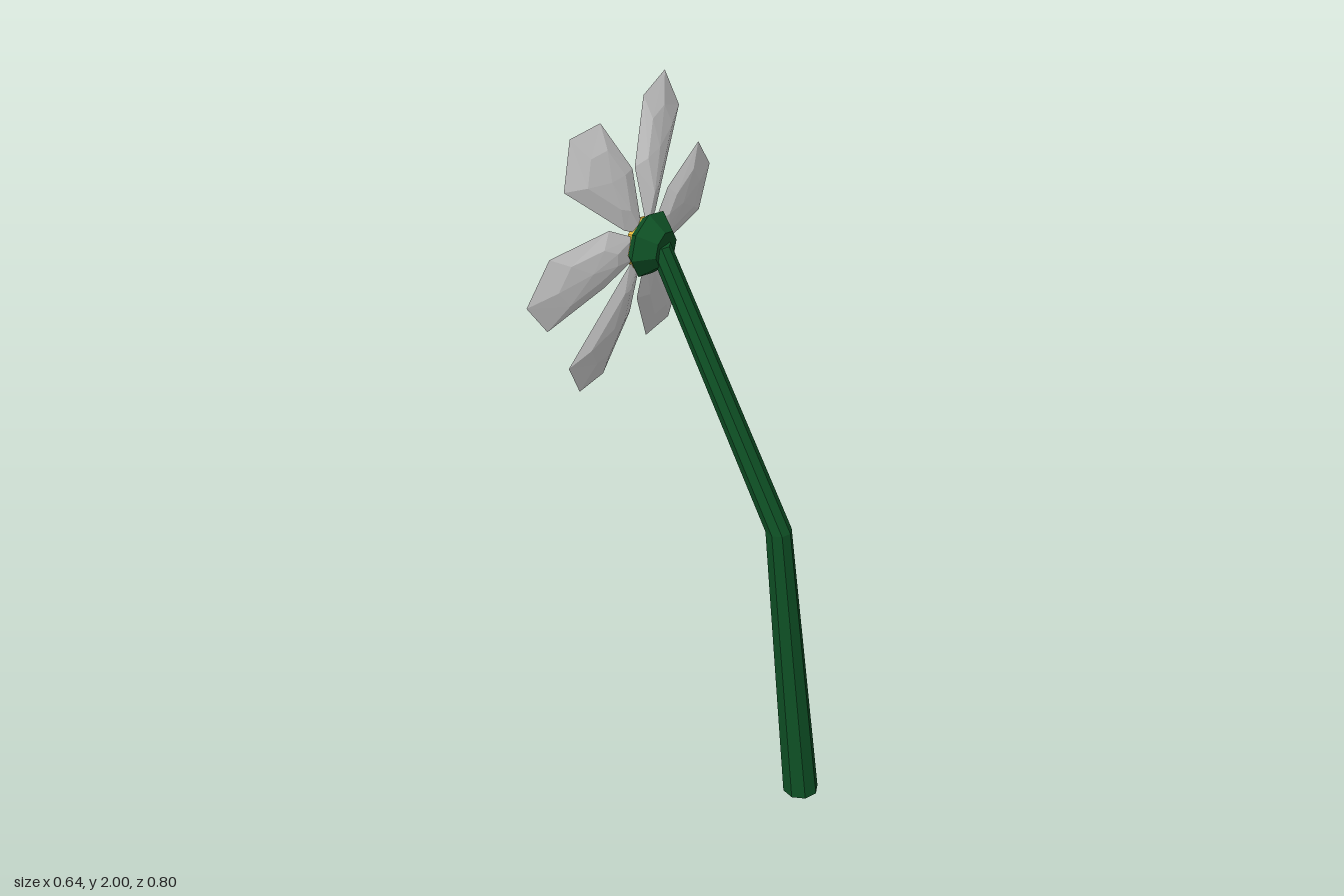
import * as THREE from 'three';

const mat = (name, color) => Object.assign(new THREE.MeshStandardMaterial({ color }), { name });

// Faceted geometry from vertices and triangle indices
function faceted(geo) {
  const g = geo.index ? geo.toNonIndexed() : geo;
  g.computeVertexNormals();
  return g;
}
function fromLists(verts, faces) {
  const g = new THREE.BufferGeometry();
  g.setAttribute('position', new THREE.Float32BufferAttribute(verts.flat(), 3));
  g.setIndex(faces.flat());
  return faceted(g);
}
function part(name, geo, material) {
  const m = new THREE.Mesh(geo, material);
  m.name = name;
  return m;
}

const CENTRE = { x: -0.15, y: 1.62, z: 0.02 };

// Cupped, tilted surface on which the petals lie
function petalX(z, y) {
  const dz = z - CENTRE.z, dy = y - CENTRE.y;
  return CENTRE.x - 0.256 * dz + 0.05 * dy - 0.19 * Math.hypot(dz, dy);
}

// Petal: sharp rim, with a raised inner facet on each side
function petalGeometry(rim) {
  const n = rim.length;
  const cz = rim.reduce((s, p) => s + p[0], 0) / n;
  const cy = rim.reduce((s, p) => s + p[1], 0) / n;
  const verts = rim.map(([z, y]) => [petalX(z, y), y, z]);
  const faces = [];
  for (const side of [1, -1]) {
    const start = verts.length;
    for (const [z, y] of rim) {
      const iz = cz + (z - cz) * 0.55, iy = cy + (y - cy) * 0.55;
      verts.push([petalX(iz, iy) + side * 0.011, iy, iz]);
    }
    verts.push([petalX(cz, cy) + side * 0.014, cy, cz]);
    for (let i = 0; i < n; i++) {
      const j = (i + 1) % n, a = start + i, b = start + j;
      for (const f of [[i, j, b], [i, b, a], [a, b, start + n]])
        faces.push(side > 0 ? f : f.reverse());
    }
  }
  return fromLists(verts, faces);
}

// Petal outlines as [z, y]
const PETALS = [
  [[0.03, 1.65], [0.03, 1.82], [0.12, 1.97], [0.23, 1.97], [0.27, 1.85], [0.09, 1.68]],
  [[0.01, 1.65], [-0.04, 1.68], [-0.22, 1.89], [-0.17, 2.0], [-0.06, 1.975], [0.02, 1.82]],
  [[-0.03, 1.6], [-0.06, 1.56], [-0.34, 1.55], [-0.4, 1.655], [-0.32, 1.75], [-0.12, 1.71], [-0.03, 1.65]],
  [[0.01, 1.58], [0.0, 1.45], [-0.11, 1.285], [-0.235, 1.28], [-0.265, 1.4], [-0.05, 1.57]],
  [[0.07, 1.58], [0.235, 1.355], [0.17, 1.255], [0.08, 1.265], [0.02, 1.42], [0.03, 1.58]],
  [[0.06, 1.65], [0.14, 1.7], [0.33, 1.7], [0.4, 1.6], [0.33, 1.505], [0.15, 1.55], [0.06, 1.59]],
];

// Stem: eight-sided loft through three rings, [x, y, z, radius]
function stemGeometry() {
  const rings = [[0.275, 0, 0.012, 0.049], [0.212, 0.87, 0.06, 0.035], [-0.112, 1.63, 0.037, 0.029]];
  const N = 8, verts = [], faces = [];
  for (const [x, y, z, r] of rings)
    for (let i = 0; i < N; i++) {
      const a = ((i + 0.3) / N) * Math.PI * 2;
      verts.push([x + r * Math.cos(a), y, z + r * Math.sin(a)]);
    }
  for (let k = 0; k < rings.length - 1; k++)
    for (let i = 0; i < N; i++) {
      const a = k * N + i, b = k * N + (i + 1) % N;
      faces.push([a, a + N, b], [b, a + N, b + N]);
    }
  const top = (rings.length - 1) * N;
  for (let i = 1; i < N - 1; i++)
    faces.push([0, i, i + 1], [top, top + i + 1, top + i]);
  return fromLists(verts, faces);
}

const lathe = (pts) => faceted(new THREE.LatheGeometry(pts.map(([r, y]) => new THREE.Vector2(r, y)), 8, Math.PI / 8));

export function createModel() {
  const green = mat('stem green', 0x0f5226);
  const white = mat('petal white', 0xe6e6e6);
  const yellow = mat('centre yellow', 0xe5b93a);

  const flower = new THREE.Group();
  flower.name = 'flower';
  flower.add(part('stem', stemGeometry(), green));

  // Calyx and yellow disc share the tilted axis of the bloom
  const head = new THREE.Group();
  head.name = 'flowerHead';
  head.position.set(CENTRE.x, CENTRE.y, CENTRE.z);
  head.quaternion.setFromUnitVectors(
    new THREE.Vector3(0, 1, 0), new THREE.Vector3(-1, 0.05, -0.256).normalize());
  head.add(part('calyx', lathe([[0, -0.057], [0.047, -0.057], [0.087, -0.012], [0.07, 0.008], [0, 0.008]]), green));
  head.add(part('flowerCentre', lathe([[0, 0], [0.07, 0.005], [0.068, 0.02], [0.045, 0.029], [0, 0.031]]), yellow));
  flower.add(head);

  const petals = new THREE.Group();
  petals.name = 'petals';
  PETALS.forEach((rim, i) => petals.add(part(`petal${i + 1}`, petalGeometry(rim), white)));
  flower.add(petals);
  return flower;
}
